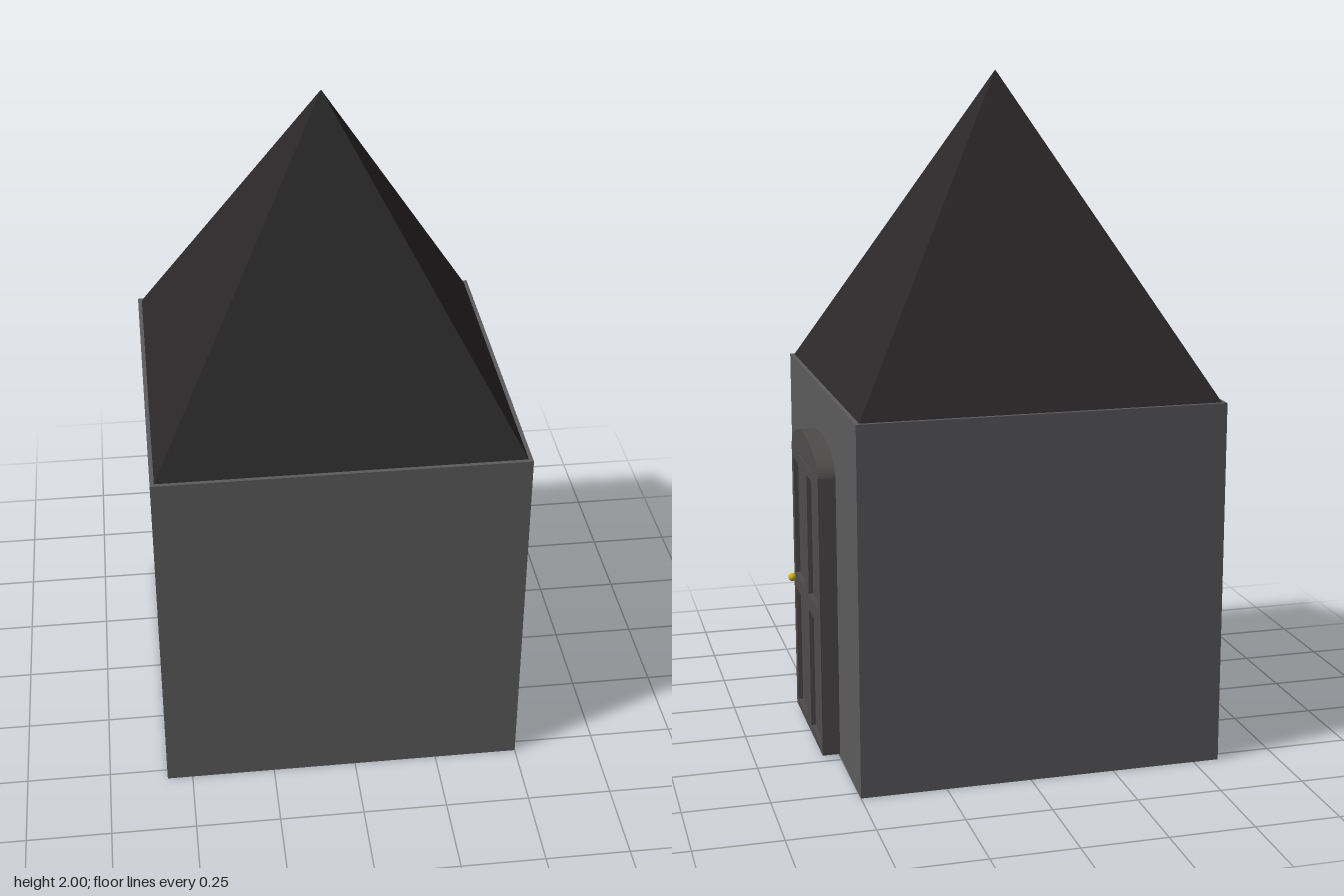
import * as THREE from 'three';

export function createModel() {
  const house = new THREE.Group();
  house.name = 'house';
  const wallMat = new THREE.MeshStandardMaterial({ color: 0x5c5c5e });
  const roofMat = new THREE.MeshStandardMaterial({ color: 0x2a2829, flatShading: true });
  const doorMat = new THREE.MeshStandardMaterial({ color: 0x4e4b4b });
  const knobMat = new THREE.MeshStandardMaterial({ color: 0xc8b414 });

  const add = (parent, name, geometry, material, x, y, z) => {
    const mesh = new THREE.Mesh(geometry, material);
    mesh.name = name;
    mesh.position.set(x, y, z);
    parent.add(mesh);
    return mesh;
  };

  // Square body with a pyramid roof set slightly inside its edges
  const centreX = -0.038;
  add(house, 'walls', new THREE.BoxGeometry(1.076, 1.08, 1.076), wallMat, centreX, 0.54, 0);
  const roof = new THREE.ConeGeometry(0.526 * Math.SQRT2, 0.92, 4, 1, true);
  roof.rotateY(Math.PI / 4);
  add(house, 'roof', roof, roofMat, centreX, 1.54, 0);

  // Arched door, drawn upright and then turned to face +x
  const door = new THREE.Group();
  door.name = 'door';
  door.position.x = 0.5;
  door.rotation.y = Math.PI / 2;
  house.add(door);

  const halfWidth = 0.226, bottom = 0.008, spring = 0.85, rise = 0.088;
  const doorShape = () => {
    const s = new THREE.Shape();
    s.moveTo(-halfWidth, bottom);
    s.lineTo(halfWidth, bottom);
    s.lineTo(halfWidth, spring);
    s.absellipse(0, spring, halfWidth, rise, 0, Math.PI, false, 0);
    s.closePath();
    return s;
  };
  const extrude = (shape, depth) =>
    new THREE.ExtrudeGeometry(shape, { depth, bevelEnabled: false, curveSegments: 32 });

  // Slab behind, with a front frame cut by four panels and a narrow slot
  const slabDepth = 0.038, frameDepth = 0.014;
  add(door, 'doorSlab', extrude(doorShape(), slabDepth), doorMat, 0, 0, 0);
  const frame = doorShape();
  const cut = (x0, x1, y0, y1) => {
    const hole = new THREE.Path();
    hole.moveTo(x0, y0);
    hole.lineTo(x0, y1);
    hole.lineTo(x1, y1);
    hole.lineTo(x1, y0);
    hole.closePath();
    frame.holes.push(hole);
  };
  for (const [y0, y1] of [[0.03, 0.4], [0.45, 0.82]]) {
    cut(-0.195, -0.034, y0, y1);
    cut(0.034, 0.195, y0, y1);
  }
  cut(-0.122, 0.122, 0.847, 0.852);
  add(door, 'doorFrame', extrude(frame, frameDepth), doorMat, 0, 0, slabDepth);

  // Round knob near the door's edge
  add(house, 'doorKnob', new THREE.SphereGeometry(0.013, 20, 14), knobMat, 0.561, 0.43, 0.21);

  return house;
}
